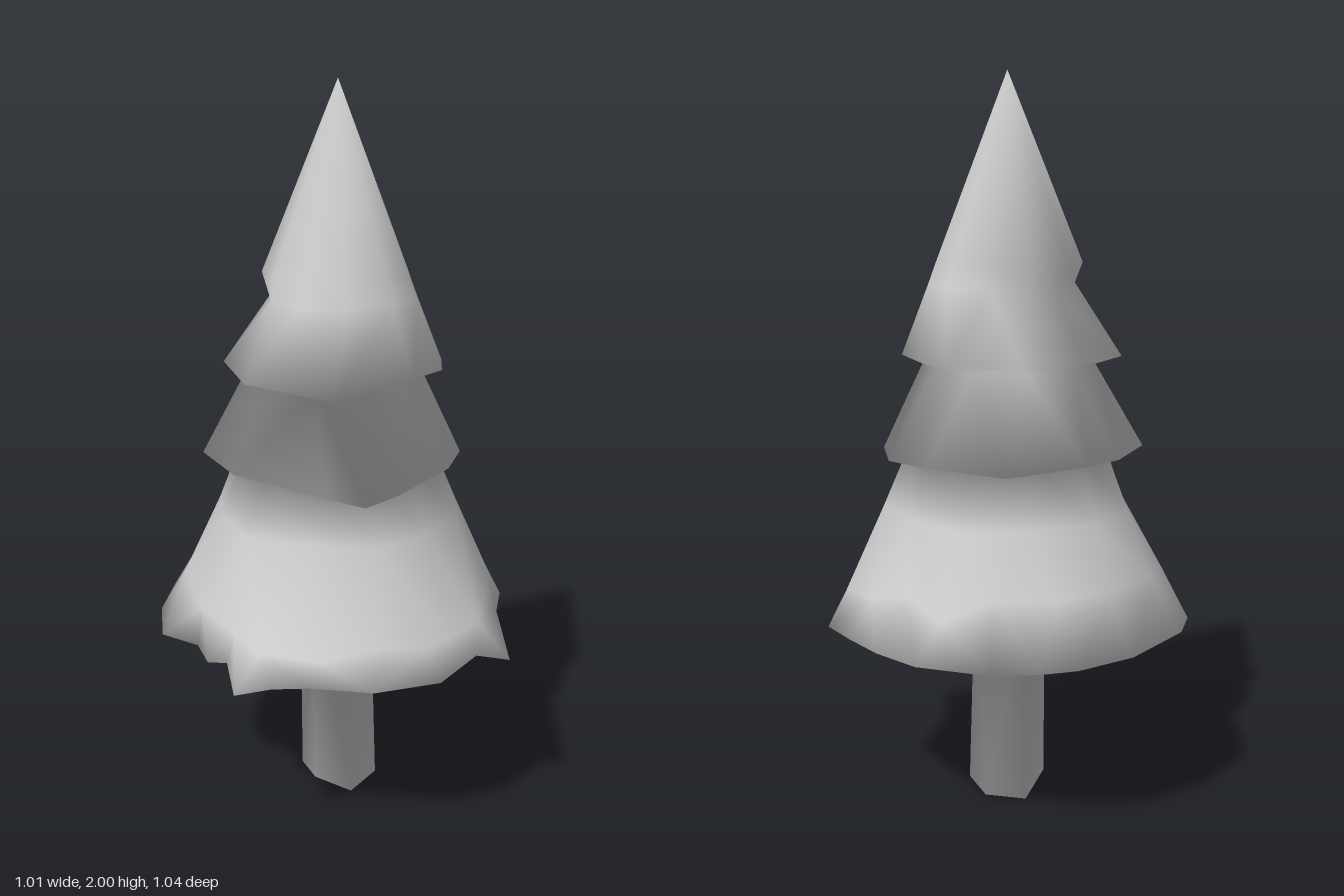
import * as THREE from 'three';

const material = new THREE.MeshStandardMaterial({ color: 0xcccccc, side: THREE.DoubleSide });

// Angle round the trunk, counterclockwise seen from above; rings start close to +x
const angleOf = ([x, , z]) => {
  const a = Math.atan2(-z, x);
  return a < -0.3 ? a + 2 * Math.PI : a;
};
const around = (n, y, radius) => Array.from({ length: n }, (_, i) => {
  const a = (i / n) * 2 * Math.PI, r = radius(a);
  return [r * Math.cos(a), y, -r * Math.sin(a)];
});
const backness = (a) => Math.max(0, Math.sin(a));
const lift = (a) => Math.max(0, Math.cos(a - 2.1));

// Zips two rings, with any number of points each, into a band of triangles
function zip(lower, upper, lowerStart, upperStart) {
  const index = [], nA = lower.length, nB = upper.length;
  const angle = (ring, i) => angleOf(ring[i % ring.length]) + (i >= ring.length ? 2 * Math.PI : 0);
  for (let i = 0, j = 0; i < nA || j < nB;) {
    const a = lowerStart + (i % nA), b = upperStart + (j % nB);
    if (j >= nB || (i < nA && angle(lower, i + 1) <= angle(upper, j + 1))) {
      i++;
      if (nA > 1) index.push(a, lowerStart + (i % nA), b);
    } else {
      j++;
      if (nB > 1) index.push(a, upperStart + (j % nB), b);
    }
  }
  return index;
}

// Smooth normals over the whole tree, each face weighted by its corner angle
function smoothNormals(points, index) {
  const normals = points.map(() => new THREE.Vector3());
  for (let i = 0; i < index.length; i += 3) {
    const ids = index.slice(i, i + 3), p = ids.map((k) => points[k]);
    const face = new THREE.Triangle(...p).getNormal(new THREE.Vector3());
    ids.forEach((id, k) => {
      const u = p[(k + 1) % 3].clone().sub(p[k]), v = p[(k + 2) % 3].clone().sub(p[k]);
      normals[id].addScaledVector(face, u.angleTo(v));
    });
  }
  return normals.flatMap((n) => n.normalize().toArray());
}

// Trunk: crooked six-sided post with a slanted foot
const foot = [[0.105, 0.01, 0.03], [0.08, 0.01, -0.1], [-0.03, 0, -0.125],
  [-0.1, 0.04, -0.03], [-0.085, 0.035, 0.06], [0.01, 0, 0.105]];
const head = [[0.09, 0.55, 0.025], [0.06, 0.55, -0.08], [-0.02, 0.55, -0.1],
  [-0.1, 0.55, -0.04], [-0.09, 0.55, 0.06], [0.01, 0.55, 0.1]];

// Bottom tier: ragged hem, and a shoulder that bulges behind and flares in front
const lowHem = [[0.505, 0.51, -0.03], [0.46, 0.53, -0.2], [0.4, 0.53, -0.32], [0.31, 0.52, -0.41],
  [0.13, 0.51, -0.48], [0.01, 0.52, -0.52], [-0.09, 0.52, -0.51], [-0.25, 0.52, -0.44],
  [-0.42, 0.53, -0.3], [-0.48, 0.52, -0.16], [-0.505, 0.51, 0], [-0.43, 0.53, 0.14],
  [-0.42, 0.52, 0.23], [-0.38, 0.54, 0.29], [-0.385, 0.5, 0.4], [-0.29, 0.51, 0.41],
  [-0.2, 0.52, 0.45], [-0.05, 0.52, 0.52], [0.14, 0.51, 0.49], [0.27, 0.53, 0.4],
  [0.37, 0.5, 0.39], [0.42, 0.54, 0.16]];
const lowShoulder = [[0.45, 0.61, -0.01], [0.4, 0.63, -0.17], [0.31, 0.66, -0.27], [0.24, 0.62, -0.38],
  [0.11, 0.68, -0.41], [-0.05, 0.68, -0.44], [-0.2, 0.68, -0.39], [-0.34, 0.68, -0.26],
  [-0.42, 0.65, -0.1], [-0.41, 0.62, 0.1], [-0.35, 0.6, 0.24], [-0.3, 0.57, 0.32],
  [-0.17, 0.58, 0.43], [0, 0.6, 0.44], [0.12, 0.58, 0.43], [0.2, 0.58, 0.38],
  [0.3, 0.59, 0.33], [0.4, 0.61, 0.13]];

// Middle tier hem
const midHem = [[0.335, 0.99, 0.06], [0.34, 0.99, -0.12], [0.26, 1, -0.27], [0.07, 0.99, -0.38],
  [-0.15, 1, -0.33], [-0.25, 1, -0.26], [-0.36, 1, -0.09], [-0.32, 1, 0.13],
  [-0.12, 0.98, 0.33], [-0.02, 0.95, 0.34], [0.07, 0.97, 0.325], [0.24, 1, 0.23]];

// Top tier hem
const topHem = [[0.285, 1.25, 0.03], [0.255, 1.25, -0.11], [0.2, 1.25, -0.22], [0.01, 1.25, -0.275],
  [-0.15, 1.25, -0.235], [-0.295, 1.25, -0.1], [-0.285, 1.24, 0.12],
  [-0.09, 1.22, 0.285], [0.13, 1.26, 0.25], [0.245, 1.25, 0.15]];

// Rings from the foot to the tip; each band upward belongs to the named part
const sections = [
  ['trunk', [[0, 0.01, 0]]],
  ['trunk', foot],
  ['bottomTier', head],
  ['bottomTier', lowHem],
  ['bottomTier', lowShoulder],
  ['bottomTier', around(12, 0.84, (a) => 0.335 + 0.02 * backness(a) + 0.015 * Math.cos(5 * a + 1))],
  ['middleTier', around(12, 1.02, (a) => 0.265 + 0.02 * backness(a))],
  ['middleTier', midHem],
  ['topTier', around(12, 1.235, (a) => 0.23 + 0.04 * backness(a))],
  ['topTier', topHem],
  // shallow step under a small lip behind
  ['topTier', around(11, 1.44, (a) => 0.216 - 0.05 * lift(a))],
  ['topTier', around(11, 1.5, (a) => 0.194 + 0.012 * lift(a))],
  ['topTier', [[0, 2, 0]]],
];

export function createModel() {
  const points = [], parts = {};
  sections.forEach(([, ring], k) => {
    const start = points.length;
    points.push(...ring.map((p) => new THREE.Vector3(...p)));
    if (k === 0) return;
    const [part, below] = sections[k - 1];
    (parts[part] ??= []).push(...zip(below, ring, start - below.length, start));
  });

  const position = new THREE.Float32BufferAttribute(points.flatMap((p) => p.toArray()), 3);
  const normal = new THREE.Float32BufferAttribute(smoothNormals(points, Object.values(parts).flat()), 3);

  const tree = new THREE.Group();
  tree.name = 'pineTree';
  for (const [name, index] of Object.entries(parts)) {
    const geometry = new THREE.BufferGeometry();
    geometry.setAttribute('position', position);
    geometry.setAttribute('normal', normal);
    geometry.setIndex(index);
    const mesh = new THREE.Mesh(geometry, material);
    mesh.name = name;
    tree.add(mesh);
  }
  return tree;
}
